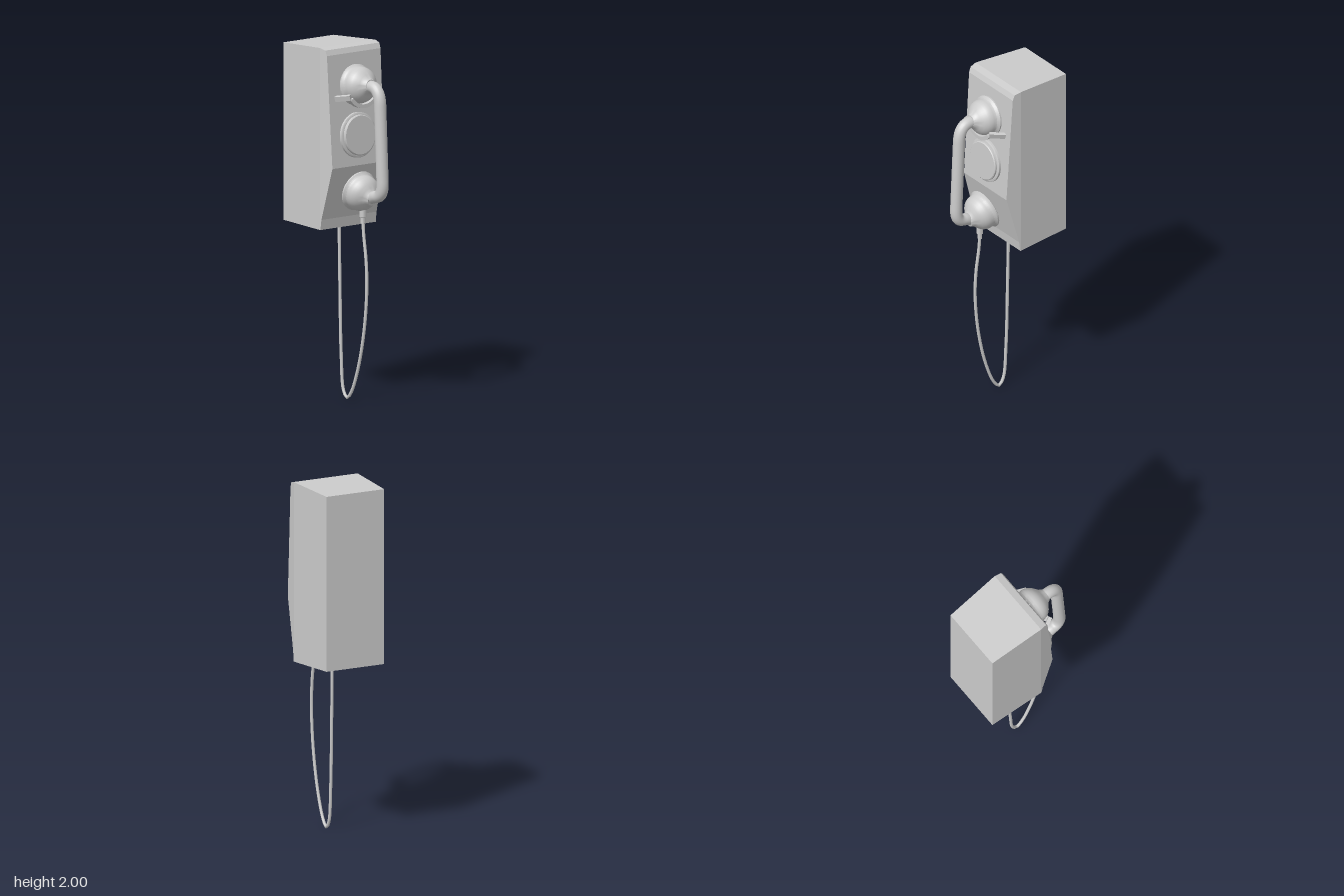
import * as THREE from 'three';
import { toCreasedNormals } from 'three/addons/utils/BufferGeometryUtils.js';

const grey = new THREE.MeshStandardMaterial({ color: 0xcccccc });
const V = (x, y, z = 0) => new THREE.Vector3(x, y, z);

function add(parent, name, geometry) {
  const mesh = new THREE.Mesh(geometry, grey);
  mesh.name = name;
  parent.add(mesh);
  return mesh;
}

// Lathe whose axis starts at a point and runs along a direction
function lathe(parent, name, profile, base, axis, sides = 40) {
  const points = profile.map(([r, h]) => new THREE.Vector2(r, h));
  const mesh = add(parent, name, toCreasedNormals(new THREE.LatheGeometry(points, sides), 0.6));
  mesh.position.copy(base);
  mesh.quaternion.setFromUnitVectors(V(0, 1), axis.clone().normalize());
  return mesh;
}

// Six-sided housing lofted through heights: [back y, middle y, front x, front y]
function housingGeometry() {
  const levels = [
    [0.988, 0.977, 0.004, 0.977],
    [1.04, 1.035, 0.012, 1.035],
    [1.33, 1.33, 0.092, 1.33],
    [1.95, 1.96, 0.052, 1.96],
    [1.985, 2.0, 0.04, 1.99],
  ];
  const rings = levels.map(([yb, ym, xf, yf]) => {
    const zf = 0.203 - 0.14 * xf;
    return [V(-0.332, yb, 0.183), V(0, ym, 0.203), V(xf, yf, zf),
      V(xf, yf, -zf), V(0, ym, -0.203), V(-0.332, yb, -0.183)];
  });
  const pos = [];
  const quad = (a, b, c, d) => [a, b, c, a, c, d].forEach((p) => pos.push(p.x, p.y, p.z));
  for (let i = 0; i < rings.length - 1; i++) {
    for (let j = 0; j < 6; j++) {
      const k = (j + 1) % 6;
      quad(rings[i][j], rings[i][k], rings[i + 1][k], rings[i + 1][j]);
    }
  }
  const b = rings[0], t = rings[rings.length - 1];
  quad(t[0], t[1], t[4], t[5]);
  quad(t[1], t[2], t[3], t[4]);
  quad(b[5], b[4], b[1], b[0]);
  quad(b[4], b[3], b[2], b[1]);
  const g = new THREE.BufferGeometry();
  g.setAttribute('position', new THREE.Float32BufferAttribute(pos, 3));
  g.computeVertexNormals();
  return g;
}

export function createModel() {
  const model = new THREE.Group();
  model.name = 'wallTelephone';
  add(model, 'housing', housingGeometry());

  // Round dial plate with a raised centre
  const faceAxis = V(0.998, 0.063);
  lathe(model, 'dial', [[0, 0], [0.127, 0], [0.127, 0.015], [0.118, 0.02], [0.113, 0.02],
    [0.113, 0.03], [0.108, 0.034], [0, 0.034]], V(0.079, 1.5), faceAxis);

  // Handset: two bell-shaped cups joined by a bent grip
  const handset = new THREE.Group();
  handset.name = 'handset';
  model.add(handset);
  const cup = [[0, 0], [0.107, 0], [0.114, 0.005], [0.115, 0.014], [0.107, 0.022], [0.103, 0.028],
    [0.103, 0.045], [0.1, 0.062], [0.092, 0.08], [0.078, 0.096], [0.06, 0.11],
    [0.045, 0.122], [0.036, 0.138], [0, 0.138]];
  lathe(handset, 'earpiece', cup, V(0.061, 1.78), faceAxis);
  lathe(handset, 'mouthpiece', cup, V(0.083, 1.19), V(0.953, -0.27));

  const grip = new THREE.CurvePath();
  grip.add(new THREE.LineCurve3(V(0.17, 1.785), V(0.205, 1.785)));
  grip.add(new THREE.CubicBezierCurve3(V(0.205, 1.785), V(0.25, 1.785), V(0.273, 1.75), V(0.276, 1.69)));
  grip.add(new THREE.LineCurve3(V(0.276, 1.69), V(0.296, 1.26)));
  grip.add(new THREE.CubicBezierCurve3(V(0.296, 1.26), V(0.298, 1.2), V(0.28, 1.175), V(0.235, 1.172)));
  grip.add(new THREE.LineCurve3(V(0.235, 1.172), V(0.19, 1.158)));
  add(handset, 'grip', new THREE.TubeGeometry(grip, 70, 0.034, 20));

  // Cradle: curved rest under the earpiece and a slanted prong on each side
  const cradle = new THREE.Group();
  cradle.name = 'cradle';
  model.add(cradle);
  const a0 = Math.PI * 1.19, a1 = Math.PI * 1.81;
  const rest = new THREE.Shape();
  rest.absarc(0, 0, 0.122, a0, a1, false);
  rest.absarc(0, 0, 0.1, a1, a0, true);
  const restMesh = add(cradle, 'cradleRest', toCreasedNormals(new THREE.ExtrudeGeometry(rest,
    { depth: 0.03, bevelEnabled: false, curveSegments: 20 }), 0.6));
  restMesh.rotation.y = Math.PI / 2;
  restMesh.position.set(0.115, 1.78, 0);
  for (const s of [1, -1]) {
    const prong = add(cradle, 'cradleProng', new THREE.BoxGeometry(0.092, 0.03, 0.02));
    prong.position.set(0.105, 1.722, s * 0.124);
    prong.rotation.set(s * 0.3, s * 0.5, 0);
  }

  // Cord hanging from the mouthpiece back up to the housing
  lathe(model, 'cordSocket', [[0, 0], [0.013, 0], [0.013, 0.03], [0.019, 0.034],
    [0.019, 0.1], [0, 0.1]], V(0.13, 1.01), V(0, 1), 16);
  const cord = new THREE.CatmullRomCurve3([
    V(0.13, 1.03), V(0.136, 0.95), V(0.157, 0.8), V(0.163, 0.65), V(0.142, 0.42), V(0.09, 0.19),
    V(0.03, 0.045), V(-0.005, 0.011), V(-0.035, 0.05), V(-0.054, 0.25), V(-0.065, 0.65), V(-0.072, 1.0),
  ], false, 'centripetal');
  add(model, 'cord', new THREE.TubeGeometry(cord, 80, 0.009, 8));

  return model;
}
